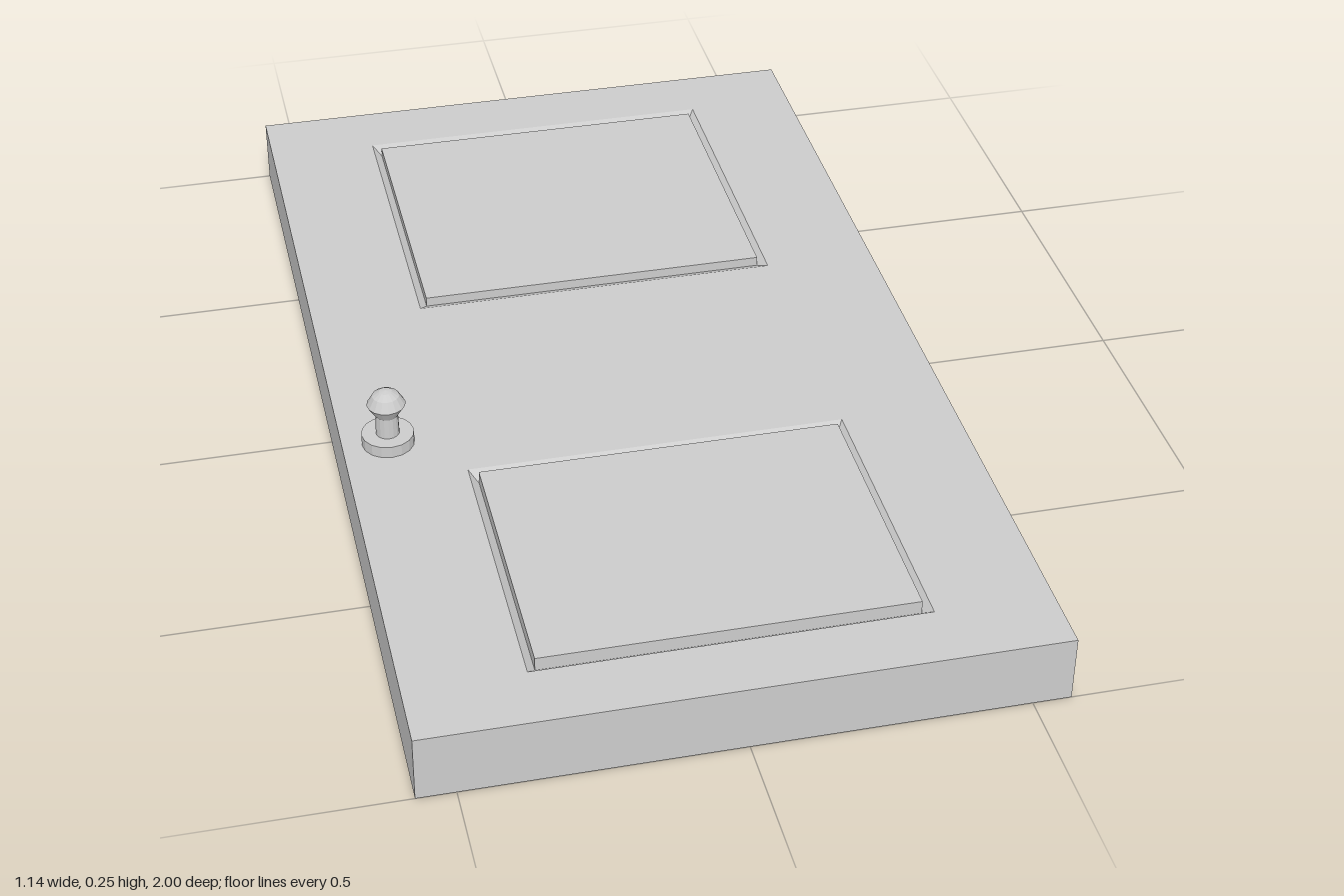
import * as THREE from 'three';

const W = 0.57, L = 1, TOP = 0.128;
const material = new THREE.MeshStandardMaterial({ color: 0xcccccc, flatShading: true });

// Raised panels: outer groove rectangle, inner panel rectangle, groove floor and panel top
const panels = [
  { name: 'upperPanel', outer: [0.355, -0.867, -0.227], inner: [0.339, -0.84, -0.252], floor: 0.115, top: 0.134 },
  { name: 'lowerPanel', outer: [0.355, 0.308, 0.876], inner: [0.339, 0.334, 0.858], floor: 0.113, top: 0.139 },
];

function addMesh(parent, name, geometry) {
  const mesh = new THREE.Mesh(geometry, material);
  mesh.name = name;
  parent.add(mesh);
  return mesh;
}

// Corners of a rectangle given as [half width, z start, z end]
const corners = ([x, z0, z1]) => [[-x, z0], [-x, z1], [x, z1], [x, z0]];

// Groove slope, panel wall and panel face, joined through rectangular rings
function panelGeometry({ outer, inner, floor, top }) {
  const rings = [[outer, TOP], [inner, floor], [inner, top]];
  const positions = [], index = [];
  for (const [rect, y] of rings) {
    for (const [x, z] of corners(rect)) positions.push(x, y, z);
  }
  for (let r = 0; r < rings.length - 1; r++) {
    for (let i = 0; i < 4; i++) {
      const a = r * 4 + i, b = r * 4 + (i + 1) % 4;
      index.push(a, b, b + 4, a, b + 4, a + 4);
    }
  }
  index.push(8, 9, 10, 8, 10, 11);
  const geometry = new THREE.BufferGeometry();
  geometry.setAttribute('position', new THREE.Float32BufferAttribute(positions, 3));
  geometry.setIndex(index);
  const flat = geometry.toNonIndexed();
  flat.computeVertexNormals();
  return flat;
}

export function createModel() {
  const model = new THREE.Group();
  model.name = 'door';

  // Slab sides and underside: a box without its top face
  const slab = new THREE.BoxGeometry(2 * W, TOP, 2 * L).translate(0, TOP / 2, 0);
  const faces = Array.from(slab.index.array);
  faces.splice(12, 6);
  slab.setIndex(faces);
  slab.clearGroups();
  addMesh(model, 'slab', slab);

  // Slab face with an opening for each panel
  const toPoints = (rect) => corners(rect).map(([x, z]) => new THREE.Vector2(x, -z));
  const face = new THREE.Shape(toPoints([W, -L, L]));
  for (const p of panels) face.holes.push(new THREE.Path(toPoints(p.outer)));
  addMesh(model, 'slabFace', new THREE.ShapeGeometry(face).rotateX(-Math.PI / 2).translate(0, TOP, 0));

  for (const p of panels) addMesh(model, p.name, panelGeometry(p));

  // Door knob: round base plate with a flared, domed handle
  const knob = new THREE.Group();
  knob.name = 'knob';
  knob.position.set(-0.484, TOP, 0.193);
  model.add(knob);
  addMesh(knob, 'knobPlate', new THREE.CylinderGeometry(0.049, 0.049, 0.023, 16).translate(0, 0.0115, 0));
  const profile = [[0.022, 0.022], [0.021, 0.064], [0.036, 0.088], [0.025, 0.107], [0.012, 0.116], [0, 0.118]];
  addMesh(knob, 'knobHandle', new THREE.LatheGeometry(profile.map(([r, y]) => new THREE.Vector2(r, y)), 16));

  return model;
}
